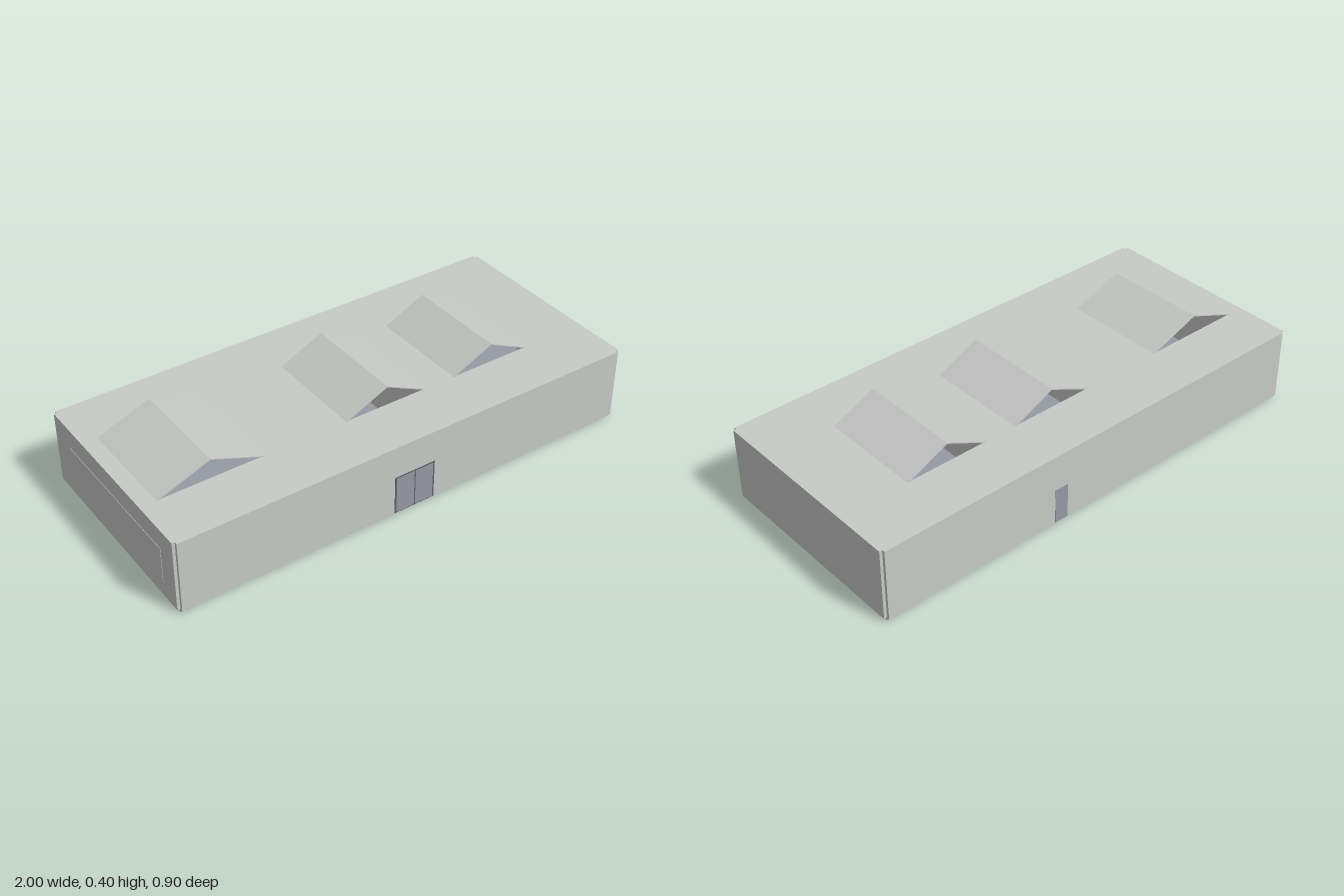
import * as THREE from 'three';

const mat = (name, color) => {
  const m = new THREE.MeshStandardMaterial({ color });
  m.name = name;
  return m;
};

export function createModel() {
  const model = new THREE.Group();
  const wallGrey = mat('wall grey', 0xc8cac8);
  const slateGrey = mat('slate grey', 0x969aa3);
  const frameGrey = mat('door frame grey', 0x60646b);

  const add = (name, geometry, material, x = 0, y = 0, z = 0) => {
    const mesh = new THREE.Mesh(geometry, material);
    mesh.name = name;
    mesh.position.set(x, y, z);
    model.add(mesh);
    return mesh;
  };
  const box = (name, material, w, h, d, x, y, z) =>
    add(name, new THREE.BoxGeometry(w, h, d), material, x, y, z);

  const path = (Type, pts) => new Type(pts.map(([x, y]) => new THREE.Vector2(x, y)));
  const rect = (x0, x1, z) => path(THREE.Path, [[x0, -z], [x0, z], [x1, z], [x1, -z]]);
  const floorPlan = () => path(THREE.Shape, [
    [-1, -0.438], [-0.988, -0.438], [-0.988, -0.45], [0.988, -0.45], [0.988, -0.438], [1, -0.438],
    [1, 0.438], [0.988, 0.438], [0.988, 0.45], [-0.988, 0.45], [-0.988, 0.438], [-1, 0.438],
  ]);
  const raise = (shape, height) =>
    new THREE.ExtrudeGeometry(shape, { depth: height, bevelEnabled: false }).rotateX(-Math.PI / 2);

  // Floor slab, set slightly in from the walls
  box('floorSlab', slateGrey, 1.976, 0.015, 0.876, 0, 0.0075, 0);

  // Outer walls with notched corners
  const walls = floorPlan();
  walls.holes.push(rect(-0.986, 0.986, 0.436));
  add('outerWalls', raise(walls, 0.295), wallGrey, 0, 0.013, 0);

  // Partitions between the three rooms
  for (const x of [-0.3, 0.25]) box('partition', wallGrey, 0.012, 0.29, 0.87, x, 0.16, 0);

  // Flat roof with an opening under each skylight
  const skylights = [[-0.935, -0.715, -0.497], [-0.145, 0.04, 0.22], [0.355, 0.533, 0.712]];
  const roof = floorPlan();
  for (const [x0, , x1] of skylights) roof.holes.push(rect(x0 + 0.006, x1 - 0.006, 0.215));
  add('roof', raise(roof, 0.008), wallGrey, 0, 0.308, 0);

  // Open-ended gabled skylights made of thin sheets
  for (const [x0, ridge, x1] of skylights) {
    const chevron = path(THREE.Shape, [
      [x0, 0.316], [x0 + 0.01, 0.316], [ridge, 0.396], [x1 - 0.01, 0.316], [x1, 0.316], [ridge, 0.4],
    ]);
    const sheet = new THREE.ExtrudeGeometry(chevron, { depth: 0.436, bevelEnabled: false });
    add('skylight', sheet, wallGrey, 0, 0, -0.218);
  }

  // Double front door with a thin frame and centre gap
  box('frontDoorFrame', frameGrey, 0.18, 0.166, 0.002, 0, 0.098, 0.45);
  for (const side of [-1, 1])
    box('frontDoorLeaf', slateGrey, 0.08, 0.156, 0.003, side * 0.0425, 0.097, 0.4505);

  // Narrow back door
  box('backDoor', slateGrey, 0.06, 0.15, 0.003, 0.2, 0.09, -0.45);

  // Long panel on the right-hand end wall
  box('endWallPanel', wallGrey, 0.003, 0.15, 0.68, -1, 0.155, 0.01);

  return model;
}
